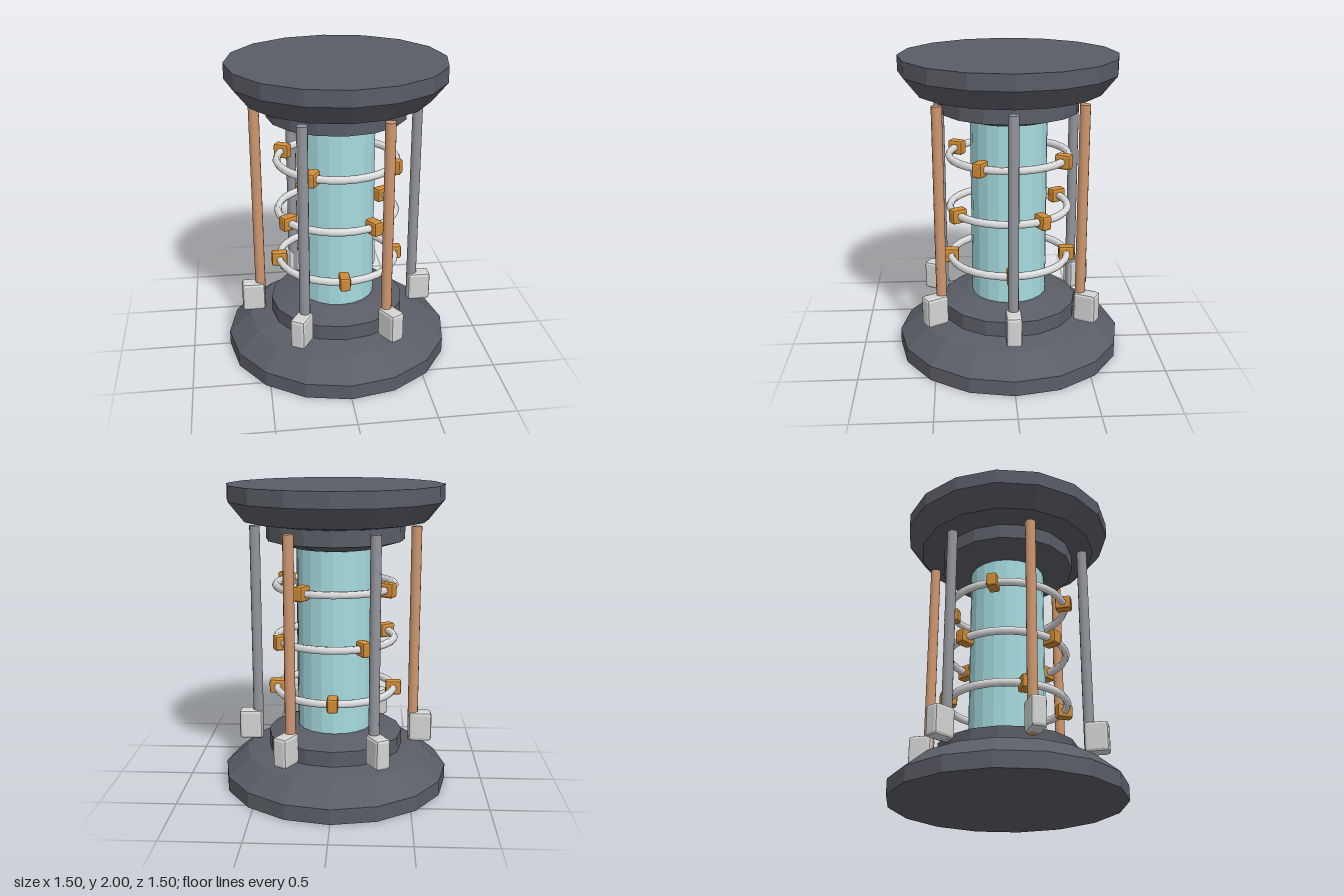
import * as THREE from 'three';
import { RoundedBoxGeometry } from 'three/addons/geometries/RoundedBoxGeometry.js';

const mat = (name, color) => {
  const m = new THREE.MeshStandardMaterial({ color });
  m.name = name;
  return m;
};

// Give every face its own flat normal
function faceted(geo) {
  const g = geo.index ? geo.toNonIndexed() : geo;
  g.computeVertexNormals();
  return g;
}

export function createModel() {
  const model = new THREE.Group();
  model.name = 'coilReactor';

  const darkMetal = mat('dark metal', 0x5a5d65);
  const glass = mat('pale cyan core', 0xa6dbdf);
  const copper = mat('copper', 0xcf9870);
  const steel = mat('steel grey', 0x94969c);
  const white = mat('off white ring', 0xe0e0e0);
  const lightGrey = mat('light grey', 0xd2d5d3);
  const amber = mat('amber', 0xd08c36);

  const add = (name, geo, material, parent = model) => {
    const mesh = new THREE.Mesh(geo, material);
    mesh.name = name;
    parent.add(mesh);
    return mesh;
  };

  // Place a mesh on a circle, its local x pointing outwards
  const placeRadially = (mesh, radius, angle, y) => {
    mesh.position.set(Math.cos(angle) * radius, y, Math.sin(angle) * radius);
    mesh.rotation.y = -angle;
  };

  // Sixteen-sided stepped base and cap
  const turned = (points) =>
    faceted(new THREE.LatheGeometry(points.map(([x, y]) => new THREE.Vector2(x, y)), 16));
  add('base', turned([
    [0, 0], [0.75, 0], [0.75, 0.1], [0.6, 0.225], [0.45, 0.25],
    [0.45, 0.35], [0.28, 0.4], [0, 0.4],
  ]), darkMetal);
  add('cap', turned([
    [0, 1.6], [0.28, 1.6], [0.45, 1.65], [0.45, 1.75], [0.6, 1.775],
    [0.7, 1.9], [0.7, 2], [0, 2],
  ]), darkMetal);

  // Central core
  const core = add('core', faceted(new THREE.CylinderGeometry(0.25, 0.25, 1.22, 20)), glass);
  core.position.y = 1;

  // Alternating steel and copper rods, each with a clamp block at its foot
  const rodGeo = new THREE.CylinderGeometry(0.034, 0.034, 1.45, 12);
  const clampGeo = faceted(new RoundedBoxGeometry(0.153, 0.2, 0.1, 1, 0.02));
  for (let i = 0; i < 6; i++) {
    const angle = (i * Math.PI) / 3;
    placeRadially(add('rod', rodGeo, i % 2 ? copper : steel), 0.525, angle, 1.005);
    placeRadially(add('clampBlock', clampGeo, lightGrey), 0.574, angle, 0.38);
  }

  // Three rings, each turned a further 60 degrees, with four amber nodes
  const ringGeo = new THREE.TorusGeometry(0.39, 0.025, 6, 32).rotateX(Math.PI / 2);
  const nodeGeo = faceted(new RoundedBoxGeometry(0.106, 0.096, 0.07, 1, 0.015));
  for (let i = 0; i < 3; i++) {
    const y = 0.65 + i * 0.35;
    const level = new THREE.Group();
    level.name = 'ringLevel';
    model.add(level);
    add('ring', ringGeo, white, level).position.y = y;
    for (let k = 0; k < 4; k++) {
      const angle = (i * Math.PI) / 3 + (k * Math.PI) / 2;
      placeRadially(add('ringNode', nodeGeo, amber, level), 0.39, angle, y);
    }
  }

  return model;
}
